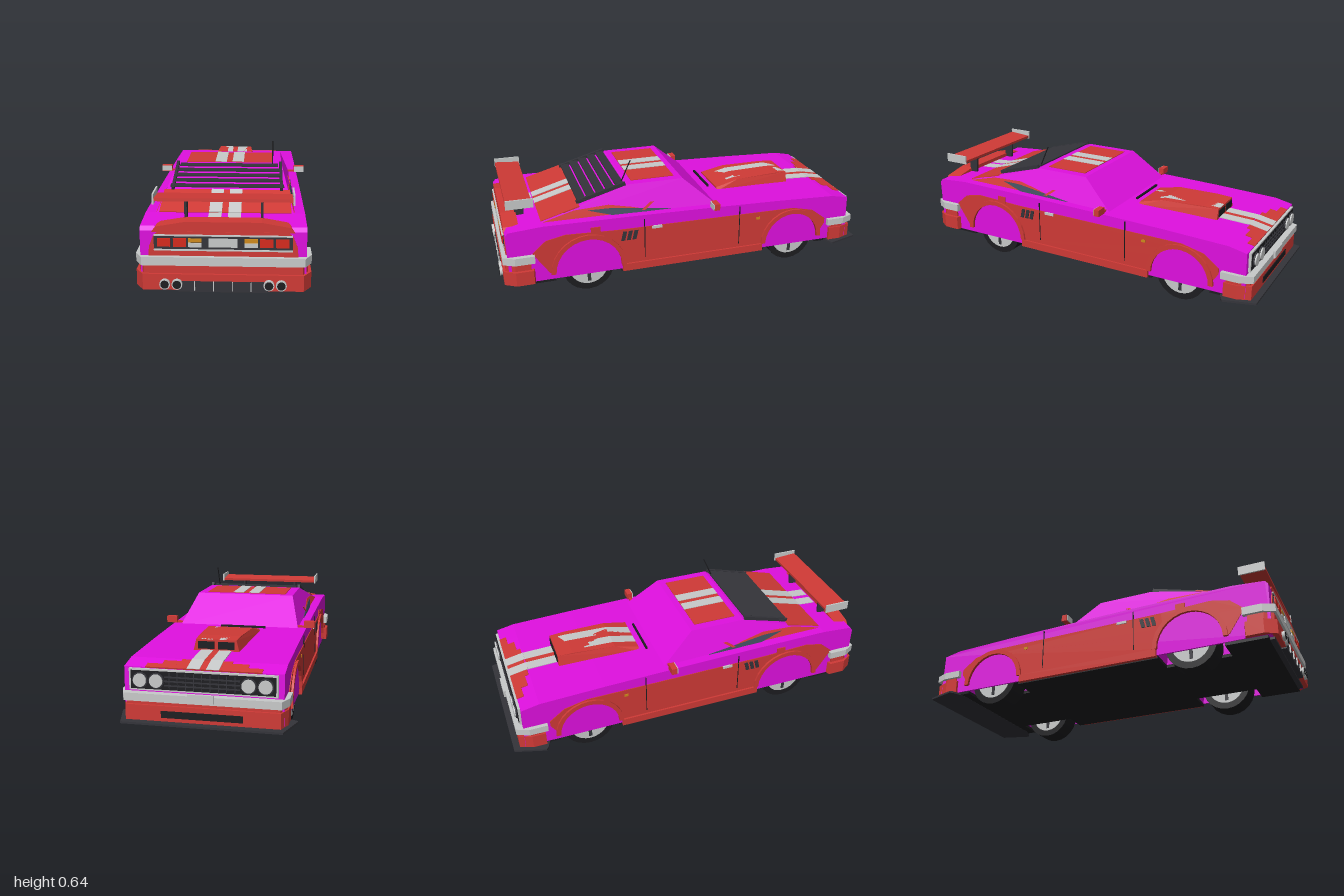
import * as THREE from 'three';

const mat = (name, color) => Object.assign(new THREE.MeshStandardMaterial({ color }), { name });

export function createModel() {
  const car = new THREE.Group();
  car.name = 'car';
  const paint = mat('magentaPaint', 0xe010e0), red = mat('redPaint', 0xd03a36);
  const dark = mat('darkTrim', 0x34343a), black = mat('blackRubber', 0x1d1d20);
  const chrome = mat('chrome', 0xc8caca), lamp = mat('redLamp', 0xd62a1c);
  const amber = mat('amberLamp', 0xd08a1c), glass = mat('tealGlass', 0x3d4a5a);

  const add = (name, geo, m, parent = car) => {
    const mesh = new THREE.Mesh(geo, m);
    mesh.name = name;
    parent.add(mesh);
    return mesh;
  };
  // Box given by its limits on each axis
  const box = (name, m, x0, x1, y0, y1, z0, z1) =>
    add(name, new THREE.BoxGeometry(x1 - x0, y1 - y0, z1 - z0)
      .translate((x0 + x1) / 2, (y0 + y1) / 2, (z0 + z1) / 2), m);
  const extrude = (pts, depth) => new THREE.ExtrudeGeometry(
    new THREE.Shape(pts.map(p => new THREE.Vector2(p[0], p[1]))), { depth, bevelEnabled: false });
  // Side profile of [z, y] points spanning x0 to x1
  const sideGeo = (pts, x0, x1) => extrude(pts, x1 - x0).rotateY(-Math.PI / 2).translate(x1, 0, 0);
  const side = (name, m, pts, x0, x1) => add(name, sideGeo(pts, x0, x1), m);
  const bothSides = (name, m, pts, x0, x1) => {
    side(name + 'Left', m, pts, x0, x1);
    side(name + 'Right', m, pts, -x1, -x0);
  };
  const mirrorPts = half => [...half, ...half.map(p => [-p[0], p[1]]).reverse()];
  // Symmetric plan outline of [x, z] points spanning y0 to y1
  const plan = (name, m, half, y0, y1) =>
    add(name, extrude(mirrorPts(half), y1 - y0).rotateX(Math.PI / 2).translate(0, y1, 0), m);
  // Symmetric face outline of [x, y] points spanning z0 to z1
  const face = (name, m, half, z0, z1) =>
    add(name, extrude(mirrorPts(half), z1 - z0).translate(0, 0, z0), m);
  // Sloping slab between two [z, y] points
  const slab = (name, m, x0, x1, a, b, t = 0.006, lift = 0) => {
    const dz = b[0] - a[0], dy = b[1] - a[1];
    const g = new THREE.BoxGeometry(x1 - x0, t, Math.hypot(dz, dy)).translate(0, lift, 0)
      .rotateX(-Math.atan2(dy, dz)).translate((x0 + x1) / 2, (a[1] + b[1]) / 2, (a[0] + b[0]) / 2);
    return add(name, g, m);
  };
  const stripes = (a, b, lift) => {
    for (const s of [-1, 1]) slab('stripe', chrome, s * 0.045 - 0.03, s * 0.045 + 0.03, a, b, 0.004, lift);
  };
  const disc = (name, m, r, x, y, z0, z1) =>
    add(name, new THREE.CylinderGeometry(r, r, z1 - z0, 20).rotateX(Math.PI / 2)
      .translate(x, y, (z0 + z1) / 2), m);
  const arc = (zc, r, y = 0.12, n = 14) => Array.from({ length: n + 1 }, (_, i) => {
    const a = Math.PI * i / n;
    return [zc - r * Math.cos(a), y + r * Math.sin(a)];
  });
  const axles = [[-0.595, 0.158], [0.547, 0.172]];

  // Lower body: solid core, hollow wheel wells, outer skin
  const top = [[0.95, 0.1], [0.955, 0.37], [0.94, 0.388], [0.77, 0.4], [0.3, 0.393], [-0.16, 0.382],
    [-0.5, 0.372], [-0.84, 0.358], [-0.935, 0.338], [-0.94, 0.1]];
  const arches = axles.flatMap(([z, r]) => arc(z, r, 0.1));
  side('bodyCore', paint, top, -0.235, 0.235);
  bothSides('wheelWell', paint, [...top, ...arches], 0.235, 0.362);
  bothSides('bodySkin', paint, top, 0.362, 0.371);
  box('floor', black, -0.236, 0.236, 0.085, 0.101, -0.92, 0.93);
  for (const s of [-1, 1]) for (const [a, b] of [[-0.92, -0.755], [-0.435, 0.375], [0.72, 0.93]])
    box('floorSide', black, s * 0.3 - 0.066, s * 0.3 + 0.066, 0.085, 0.101, a, b);

  // Greenhouse, leaning inward towards the roof
  const lean = y => 0.325 - (y - 0.385) * 0.366;
  const cabin = sideGeo([[-0.17, 0.375], [0.01, 0.53], [0.31, 0.53], [0.78, 0.397], [0.78, 0.375]], -1, 1);
  const cp = cabin.attributes.position;
  for (let i = 0; i < cp.count; i++) cp.setX(i, cp.getX(i) * lean(cp.getY(i)));
  cabin.computeVertexNormals();
  add('cabin', cabin, paint);
  const cabinPlate = (name, m, pts, out) => {
    for (const s of [-1, 1]) {
      const g = sideGeo(pts, -0.002, 0.002), p = g.attributes.position;
      for (let i = 0; i < p.count; i++) p.setX(i, p.getX(i) + s * (lean(p.getY(i)) + out));
      g.computeVertexNormals();
      add(name, g, m);
    }
  };
  cabinPlate('quarterPanel', red, [[0.76, 0.4], [0.6, 0.437], [0.42, 0.444], [0.3, 0.42], [0.2, 0.395]], 0.001);
  cabinPlate('quarterWindow', glass, [[0.53, 0.43], [0.42, 0.428], [0.09, 0.39], [0.4, 0.393]], 0.004);
  cabinPlate('windowPillar', red, [[0.25, 0.4], [0.23, 0.4], [0.18, 0.435], [0.2, 0.435]], 0.005);

  // Painted roof, rear slope, bonnet and stripes
  box('roofPanel', red, -0.225, 0.225, 0.529, 0.533, 0.045, 0.28);
  stripes([0.045, 0.533], [0.28, 0.533], 0.001);
  const slope = z => [z, 0.53 - (z - 0.31) * 0.283];
  slab('rearSlopePanel', red, -0.308, 0.308, slope(0.57), slope(0.77));
  stripes(slope(0.57), slope(0.77), 0.004);
  stripes([0.775, 0.399], [0.87, 0.393], 0.002);
  slab('nosePatch', red, -0.27, 0.27, [-0.937, 0.338], [-0.9, 0.346]);
  slab('nosePatch', red, -0.2, 0.2, [-0.9, 0.346], [-0.865, 0.353]);
  slab('nosePatch', red, -0.12, 0.12, [-0.865, 0.353], [-0.845, 0.357]);
  stripes([-0.937, 0.338], [-0.84, 0.358], 0.003);
  slab('centreStripe', red, -0.015, 0.015, [-0.84, 0.358], [-0.67, 0.365], 0.004, 0.001);
  stripes([-0.84, 0.358], [-0.67, 0.365], 0.002);

  // Bonnet scoop narrowing towards the nose
  const scoop = sideGeo([[-0.24, 0.37], [-0.24, 0.388], [-0.37, 0.418], [-0.6, 0.424], [-0.68, 0.42], [-0.68, 0.36]], -1, 1);
  const sp = scoop.attributes.position;
  for (let i = 0; i < sp.count; i++)
    sp.setX(i, sp.getX(i) * (0.153 + sp.getZ(i) * 0.057 - (sp.getY(i) > 0.384 ? 0.015 : 0)));
  scoop.computeVertexNormals();
  add('bonnetScoop', scoop, red);
  stripes([-0.24, 0.388], [-0.37, 0.418], 0.002);
  stripes([-0.37, 0.418], [-0.6, 0.424], 0.002);
  stripes([-0.6, 0.424], [-0.68, 0.42], 0.002);
  for (const s of [-1, 1]) box('scoopIntake', black, s * 0.05 - 0.04, s * 0.05 + 0.04, 0.374, 0.41, -0.684, -0.678);
  box('wiper', black, -0.155, 0.09, 0.383, 0.393, -0.208, -0.198);

  // Red side panels, arch flares, sills and small side fittings
  const panel = [[0.83, 0.26], [0.76, 0.32], [0.66, 0.34], [0.4, 0.328], [-0.6, 0.318], [-0.72, 0.29],
    [-0.8, 0.23], [-0.8, 0.2], [-0.755, 0.13], ...axles.flatMap(([z, r]) => arc(z, r, 0.13)), [0.75, 0.14]];
  bothSides('sidePanel', red, panel, 0.37, 0.375);
  for (const [z, r] of axles)
    bothSides('archFlare', red, [...arc(z, r + 0.024, 0.13), ...arc(z, r, 0.13).reverse()], 0.37, 0.386);
  bothSides('sill', red, [[0.37, 0.09], [0.37, 0.13], [-0.42, 0.13], [-0.42, 0.09]], 0.35, 0.385);
  for (let i = 0; i < 3; i++) {
    const z = 0.295 + i * 0.03;
    bothSides('sideVent', dark, [[z + 0.02, 0.265], [z, 0.265], [z - 0.012, 0.315], [z + 0.008, 0.315]], 0.37, 0.379);
  }
  bothSides('doorHandle', chrome, [[0.21, 0.312], [0.21, 0.326], [0.155, 0.326], [0.155, 0.312]], 0.37, 0.38);
  bothSides('sideMarker', amber, [[-0.38, 0.28], [-0.38, 0.294], [-0.402, 0.294], [-0.402, 0.28]], 0.37, 0.378);
  bothSides('sideBadgePlate', red, [[0.53, 0.32], [0.53, 0.36], [0.48, 0.36], [0.48, 0.32]], 0.37, 0.376);
  for (const z of [0.25, -0.28])
    bothSides('doorSeam', black, [[z, 0.15], [z, 0.37], [z - 0.004, 0.37], [z - 0.004, 0.15]], 0.37, 0.3765);

  // Mirrors
  for (const s of [-1, 1]) {
    box('mirrorShell', red, s * 0.386 - 0.029, s * 0.386 + 0.029, 0.383, 0.418, -0.152, -0.122);
    box('mirrorGlass', chrome, s * 0.386 - 0.027, s * 0.386 + 0.027, 0.385, 0.416, -0.122, -0.117);
    box('mirrorArm', red, s * 0.345 - 0.025, s * 0.345 + 0.025, 0.38, 0.392, -0.145, -0.13);
  }

  // Wheels
  for (const [z] of axles) for (const s of [-1, 1]) {
    const wheel = new THREE.Group();
    wheel.name = 'wheel';
    wheel.position.set(s * 0.302, 0.137, z);
    car.add(wheel);
    const cyl = (r, w) => new THREE.CylinderGeometry(r, r, w, 24).rotateZ(Math.PI / 2);
    add('tyre', cyl(0.134, 0.112), black, wheel);
    add('rim', cyl(0.1, 0.116), chrome, wheel);
    for (let i = 0; i < 5; i++)
      add('rimSlot', new THREE.BoxGeometry(0.119, 0.055, 0.018).translate(0, 0.058, 0)
        .rotateX(Math.PI + i * Math.PI * 0.4), dark, wheel);
  }

  // Tail: bumpers, light panel, diffuser and exhausts
  plan('rearBumper', chrome, [[0.36, 0.82], [0.396, 0.82], [0.396, 0.92], [0.365, 0.978]], 0.215, 0.255);
  plan('rearBumperFill', red, [[0.36, 0.84], [0.38, 0.84], [0.38, 0.92], [0.355, 0.966]], 0.17, 0.216);
  plan('rearValance', red, [[0.36, 0.82], [0.396, 0.83], [0.396, 0.92], [0.36, 0.978]], 0.1, 0.175);
  face('tailPanel', red, [[0.335, 0.25], [0.33, 0.3], [0.31, 0.35], [0.29, 0.368]], 0.95, 0.958);
  box('lightPanel', dark, -0.308, 0.308, 0.288, 0.352, 0.955, 0.961);
  for (const y of [0.284, 0.352]) box('panelTrim', chrome, -0.308, 0.308, y - 0.003, y + 0.003, 0.955, 0.966);
  box('plate', chrome, -0.064, 0.064, 0.299, 0.339, 0.958, 0.966);
  for (const s of [-1, 1]) {
    for (const x of [0.263, 0.193]) box('tailLamp', lamp, s * x - 0.029, s * x + 0.029, 0.3, 0.339, 0.958, 0.967);
    box('turnLamp', amber, s * 0.125 - 0.03, s * 0.125 + 0.03, 0.321, 0.339, 0.958, 0.967);
    box('reverseLamp', chrome, s * 0.125 - 0.03, s * 0.125 + 0.03, 0.299, 0.318, 0.958, 0.967);
    for (const x of [0.26, 0.205]) {
      disc('exhaustPipe', chrome, 0.024, s * x, 0.13, 0.9, 0.992);
      disc('exhaustBore', black, 0.019, s * x, 0.13, 0.99, 0.994);
    }
    for (const x of [0.042, 0.126]) box('diffuserFin', chrome, s * x - 0.002, s * x + 0.002, 0.1, 0.143, 0.975, 0.988);
  }
  box('diffuser', dark, -0.2, 0.2, 0.093, 0.143, 0.93, 0.981);
  box('rearUndertray', dark, -0.335, 0.335, 0.088, 0.104, 0.8, 0.955);

  // Ducktail and raised wing
  face('ducktail', red, [[0.32, 0.365], [0.3, 0.39], [0.17, 0.413]], 0.88, 0.957);
  slab('wing', red, -0.31, 0.31, [0.805, 0.497], [0.935, 0.507], 0.014);
  for (const s of [-1, 1]) {
    box('wingEndPlate', chrome, s * 0.312 - 0.004, s * 0.312 + 0.004, 0.486, 0.533, 0.8, 0.937);
    side('wingStrut', dark, [[0.84, 0.385], [0.885, 0.385], [0.89, 0.498], [0.83, 0.498]], s * 0.172 - 0.006, s * 0.172 + 0.006);
  }

  // Rear window louvres
  const onSlope = (z, up) => [z, slope(z)[1] + up];
  for (let i = 0; i < 5; i++) {
    const z = 0.325 + i * 0.051, w = 0.253 + i * 0.0065;
    slab('louvre', dark, -w, w, onSlope(z, 0.006), onSlope(z + 0.046, 0.018), 0.007);
  }
  for (const s of [-1, 1]) {
    const rail = slab('louvreRail', dark, -0.007, 0.007, onSlope(0.32, 0.008), onSlope(0.58, 0.008), 0.022);
    rail.position.x = s * 0.266;
  }

  // Aerial
  add('aerial', new THREE.TubeGeometry(new THREE.LineCurve3(
    new THREE.Vector3(0.225, 0.52, 0.337), new THREE.Vector3(0.225, 0.645, 0.28)), 1, 0.003, 6), black);

  // Nose: grille, headlamps, bumpers and splitter
  box('grilleFrame', chrome, -0.345, 0.345, 0.232, 0.333, -0.948, -0.935);
  box('grille', black, -0.335, 0.335, 0.24, 0.325, -0.952, -0.94);
  for (let i = 0; i < 3; i++) box('grilleBar', dark, -0.175, 0.175, 0.258 + i * 0.02, 0.264 + i * 0.02, -0.957, -0.95);
  for (let i = -4; i <= 4; i++) box('grilleRib', dark, i * 0.038 - 0.002, i * 0.038 + 0.002, 0.245, 0.32, -0.956, -0.95);
  for (const s of [-1, 1]) for (const x of [0.29, 0.213]) {
    disc('headlampRing', dark, 0.037, s * x, 0.282, -0.958, -0.95);
    disc('headlamp', chrome, 0.031, s * x, 0.282, -0.965, -0.95);
  }
  plan('frontBumper', chrome, [[0.36, -0.815], [0.392, -0.815], [0.392, -0.91], [0.365, -0.975]], 0.187, 0.224);
  plan('frontBumperFill', red, [[0.36, -0.84], [0.378, -0.84], [0.378, -0.9], [0.355, -0.955]], 0.16, 0.19);
  plan('frontValance', red, [[0.36, -0.83], [0.385, -0.83], [0.385, -0.9], [0.36, -0.967]], 0.095, 0.168);
  box('frontPlate', chrome, -0.06, 0.06, 0.195, 0.235, -0.985, -0.972);
  box('lowerIntake', black, -0.19, 0.19, 0.113, 0.145, -0.971, -0.96);
  plan('splitter', dark, [[0.34, -0.8], [0.41, -0.83], [0.422, -0.84], [0.375, -1]], 0.084, 0.094);
  return car;
}
